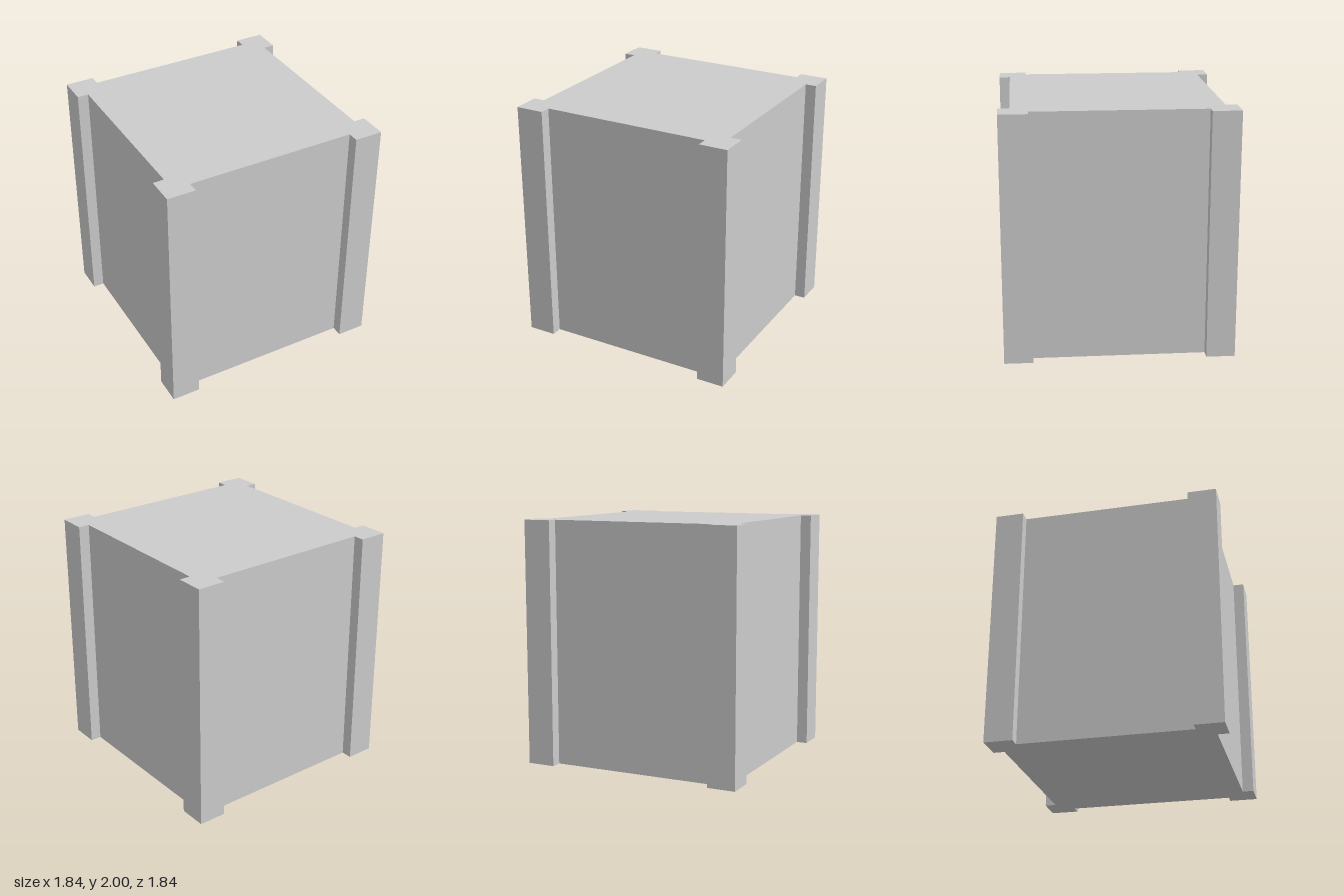
import * as THREE from 'three';

const HEIGHT = 2;
const OUTER = 0.92; // outside of the corner posts
const INNER = 0.69; // inside edge of the corner posts
const WALL = 0.83;  // recessed wall faces

// Plan outline: one corner post, turned to all four corners
function planShape() {
  const corner = [[WALL, INNER], [OUTER, INNER], [OUTER, OUTER], [INNER, OUTER], [INNER, WALL]];
  const points = [];
  for (let i = 0; i < 4; i++) {
    for (const [x, y] of corner) {
      points.push(new THREE.Vector2(x, y).rotateAround(new THREE.Vector2(), i * Math.PI / 2));
    }
  }
  return new THREE.Shape(points);
}

export function createModel() {
  const group = new THREE.Group();
  group.name = 'blockWithCornerPosts';

  // Solid block with its corner posts, raised from the plan
  const geometry = new THREE.ExtrudeGeometry(planShape(), { depth: HEIGHT, bevelEnabled: false });
  geometry.rotateX(-Math.PI / 2);
  const material = new THREE.MeshStandardMaterial({ color: 0xcccccc, flatShading: true });
  const body = new THREE.Mesh(geometry, material);
  body.name = 'body';
  group.add(body);

  return group;
}
